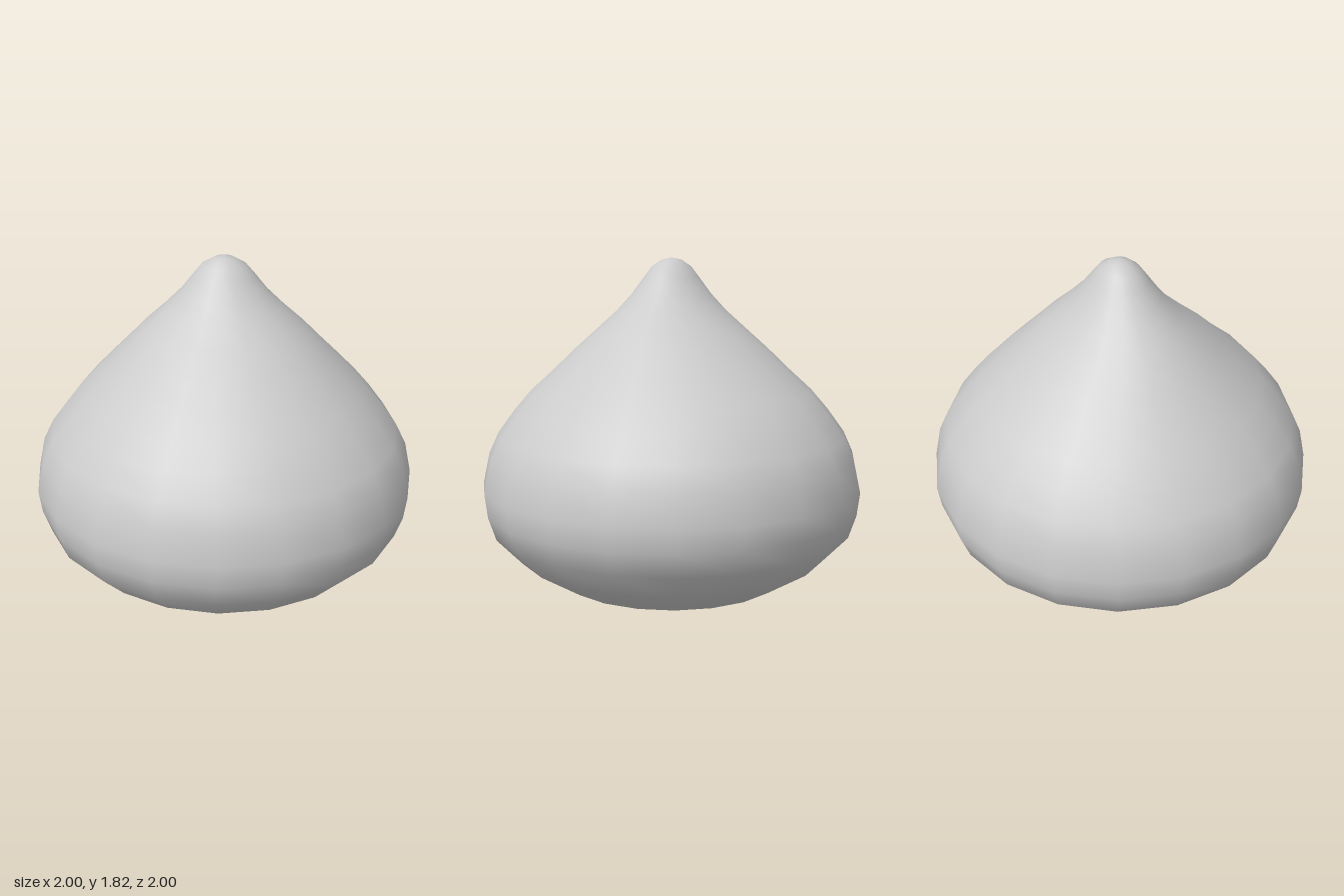
import * as THREE from 'three';
import { mergeVertices } from 'three/addons/utils/BufferGeometryUtils.js';

// Rings from base to tip: [height, radius along x, radius along z]
const RINGS = [
  [0, 0, 0], [0.035, 0.31, 0.31], [0.125, 0.59, 0.59], [0.26, 0.81, 0.81],
  [0.4, 0.945, 0.945], [0.52, 0.985, 0.985], [0.64, 1, 1], [0.8, 0.965, 0.965],
  [0.91, 0.91, 0.917], [1.03, 0.82, 0.83], [1.135, 0.73, 0.74], [1.25, 0.62, 0.605],
  [1.35, 0.52, 0.5], [1.45, 0.425, 0.38], [1.55, 0.315, 0.268], [1.635, 0.228, 0.195],
  [1.72, 0.16, 0.135], [1.776, 0.112, 0.095], [1.81, 0.05, 0.05], [1.82, 0, 0],
];
const SIDES = 20;

export function createModel() {
  // Turned drop shape, then narrowed along z where the neck is slightly oval
  const profile = RINGS.map(([y, rx]) => new THREE.Vector2(rx, y));
  let geometry = new THREE.LatheGeometry(profile, SIDES);
  const pos = geometry.attributes.position;
  for (let i = 0; i < pos.count; i++) {
    const [, rx, rz] = RINGS[i % RINGS.length];
    if (rx > 0) pos.setZ(i, pos.getZ(i) * rz / rx);
  }

  // Weld the seam and poles so the shading is smooth all round
  geometry.deleteAttribute('uv');
  geometry.deleteAttribute('normal');
  geometry = mergeVertices(geometry, 1e-4);
  geometry.computeVertexNormals();

  const body = new THREE.Mesh(geometry, new THREE.MeshStandardMaterial({ color: 0xcccccc }));
  body.name = 'dropBody';
  const group = new THREE.Group();
  group.name = 'drop';
  group.add(body);
  return group;
}
